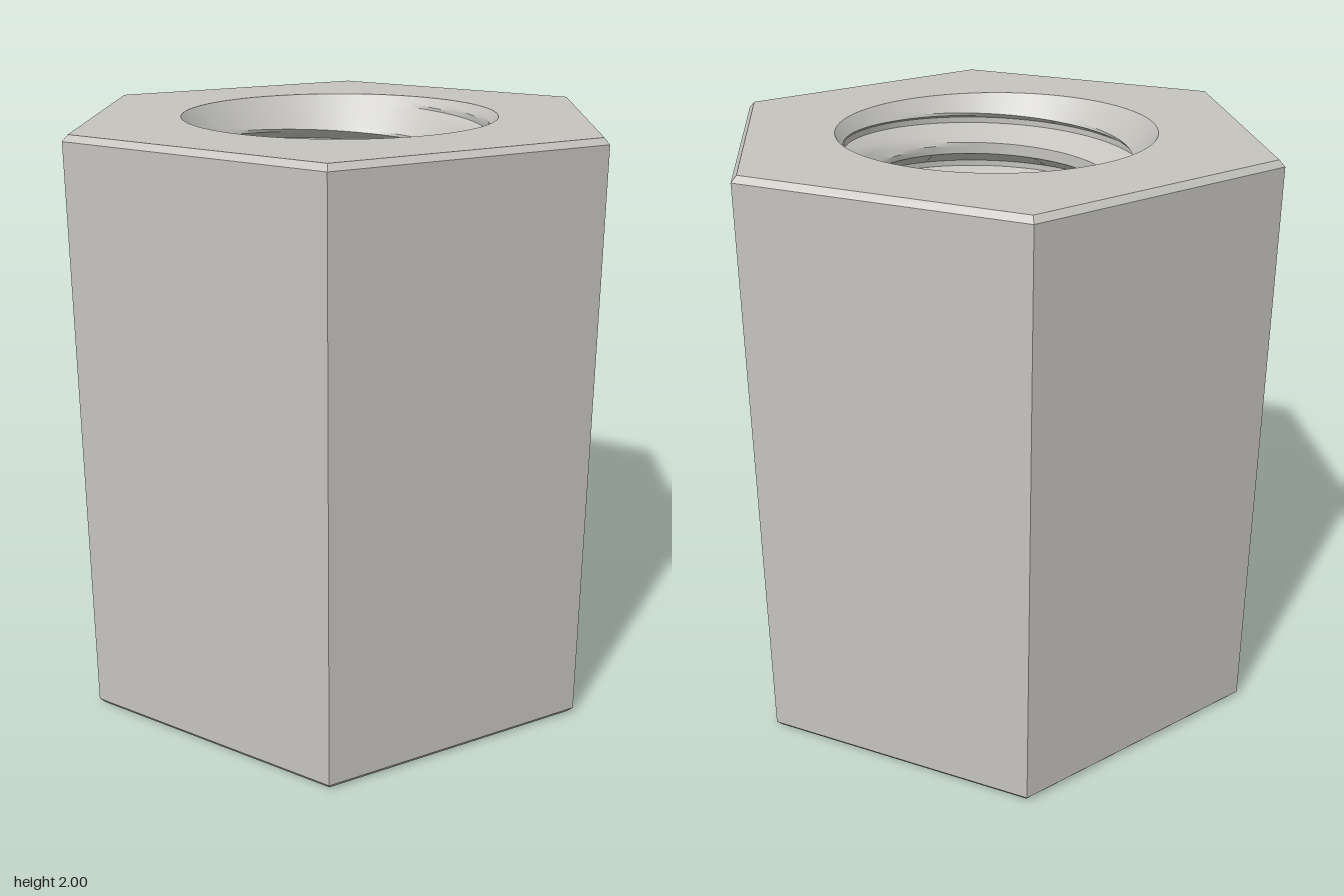
import * as THREE from 'three';
import { toCreasedNormals } from 'three/addons/utils/BufferGeometryUtils.js';

const HEIGHT = 2, HEX_R = 0.96, BEVEL = 0.02;
const MOUTH_R = 0.53, CREST_R = 0.41, ROOT_R = 0.505, PITCH = 0.16;

// Bore radius: trapezoid thread, widened by a countersink at each end
function boreRadius(y, phase) {
  const u = Math.abs(phase - Math.round(phase));
  const t = THREE.MathUtils.clamp((u - 0.0625) / 0.3125, 0, 1);
  const thread = ROOT_R + (CREST_R - ROOT_R) * t;
  const sink = MOUTH_R - 0.8 * Math.min(y, HEIGHT - y);
  return Math.max(thread, sink);
}

// Threaded bore: rows follow the helix and are clipped to the two ends
function boreGeometry() {
  const SEG = 96, STEPS = 16;
  const first = -2 * STEPS, last = Math.ceil(HEIGHT / PITCH + 1) * STEPS;
  const point = (i, j) => {
    const turn = i / SEG, a = turn * Math.PI * 2;
    const y = THREE.MathUtils.clamp(PITCH * (turn + j / STEPS) + 0.04, 0, HEIGHT);
    const r = boreRadius(y, (y - 0.04) / PITCH - turn);
    return [r * Math.cos(a), y, -r * Math.sin(a)];
  };
  const pos = [];
  const tri = (a, b, c) => {
    if (a[1] !== b[1] || b[1] !== c[1]) pos.push(...a, ...b, ...c);
  };
  for (let j = first; j < last; j++) {
    for (let i = 0; i < SEG; i++) {
      const a = point(i, j), b = point(i + 1, j), c = point(i + 1, j + 1), d = point(i, j + 1);
      tri(a, c, b);
      tri(a, d, c);
    }
  }
  const g = new THREE.BufferGeometry();
  g.setAttribute('position', new THREE.Float32BufferAttribute(pos, 3));
  return toCreasedNormals(g, 0.5);
}

// Hexagonal end face with the round mouth cut out
function endFaceGeometry() {
  const r = HEX_R - BEVEL;
  const shape = new THREE.Shape();
  for (let i = 0; i < 6; i++) {
    const a = i * Math.PI / 3;
    shape[i ? 'lineTo' : 'moveTo'](r * Math.cos(a), r * Math.sin(a));
  }
  shape.closePath();
  shape.holes.push(new THREE.Path().absarc(0, 0, MOUTH_R, 0, Math.PI * 2, true));
  return new THREE.ShapeGeometry(shape, 48);
}

export function createModel() {
  const group = new THREE.Group();
  group.name = 'hexStandoff';
  const metal = new THREE.MeshStandardMaterial({ color: 0xc4c3be, flatShading: true });
  metal.name = 'pale metal';
  const smoothMetal = new THREE.MeshStandardMaterial({ color: 0xc4c3be });
  smoothMetal.name = 'pale metal bore';

  const add = (name, geometry, material, y) => {
    const mesh = new THREE.Mesh(geometry, material);
    mesh.name = name;
    mesh.position.y = y;
    group.add(mesh);
    return mesh;
  };
  const hexBand = (top, bottom, h) =>
    new THREE.CylinderGeometry(top, bottom, h, 6, 1, true, Math.PI / 2);

  // Outer hexagon with small bevels
  add('hexSides', hexBand(HEX_R, HEX_R, HEIGHT - 2 * BEVEL), metal, HEIGHT / 2);
  add('topBevel', hexBand(HEX_R - BEVEL, HEX_R, BEVEL), metal, HEIGHT - BEVEL / 2);
  add('bottomBevel', hexBand(HEX_R, HEX_R - BEVEL, BEVEL), metal, BEVEL / 2);

  // End faces
  add('topFace', endFaceGeometry(), metal, HEIGHT).rotation.x = -Math.PI / 2;
  add('bottomFace', endFaceGeometry(), metal, 0).rotation.x = Math.PI / 2;

  // Countersunk thread
  add('threadedBore', boreGeometry(), smoothMetal, 0);
  return group;
}
